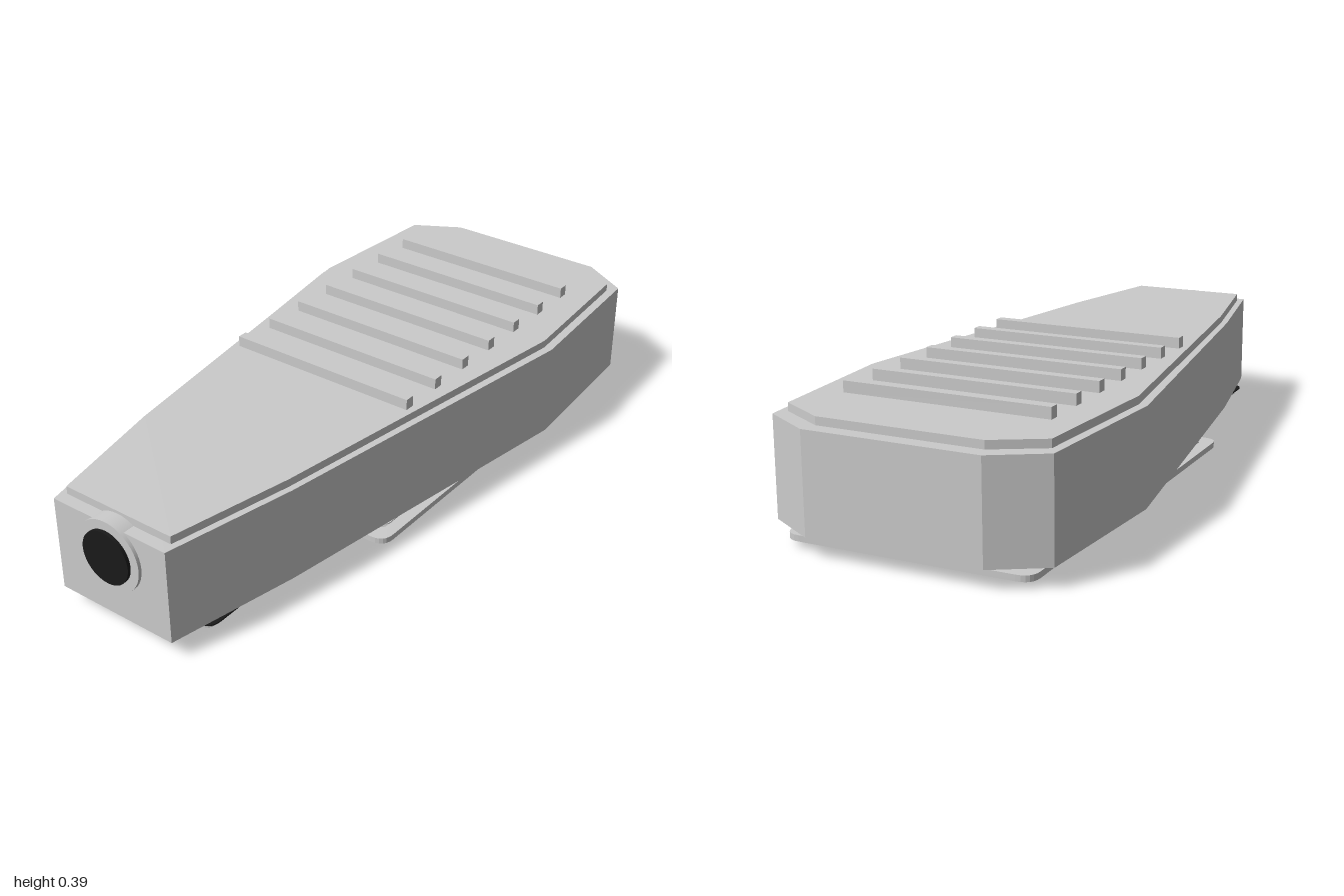
import * as THREE from 'three';

const grey = new THREE.MeshStandardMaterial({ color: 0xcccccc, flatShading: true });
const smoothGrey = new THREE.MeshStandardMaterial({ color: 0xcccccc });
const black = new THREE.MeshStandardMaterial({ color: 0x1a1a1a });

// Closed outline mirrored across z = 0 from points of one side
function mirroredShape(half) {
  const other = half.map(([x, z]) => [x, -z]).reverse();
  return new THREE.Shape([...half, ...other].map(([x, z]) => new THREE.Vector2(x, z)));
}

function roundedRect(x0, x1, halfZ, r) {
  const s = new THREE.Shape();
  s.moveTo(x0 + r, -halfZ);
  s.lineTo(x1 - r, -halfZ);
  s.quadraticCurveTo(x1, -halfZ, x1, -halfZ + r);
  s.lineTo(x1, halfZ - r);
  s.quadraticCurveTo(x1, halfZ, x1 - r, halfZ);
  s.lineTo(x0 + r, halfZ);
  s.quadraticCurveTo(x0, halfZ, x0, halfZ - r);
  s.lineTo(x0, -halfZ + r);
  s.quadraticCurveTo(x0, -halfZ, x0 + r, -halfZ);
  return s;
}

export function createModel() {
  const model = new THREE.Group();
  const add = (name, geometry, material = grey) => {
    const mesh = new THREE.Mesh(geometry, material);
    mesh.name = name;
    model.add(mesh);
    return mesh;
  };
  // Horizontal slab of a plan shape between two heights
  const slab = (name, shape, y0, y1, material) => {
    const g = new THREE.ExtrudeGeometry(shape, { depth: y1 - y0, bevelEnabled: false, curveSegments: 6 });
    g.rotateX(-Math.PI / 2);
    g.translate(0, y0, 0);
    return add(name, g, material);
  };
  const box = (name, x, y, z, w, h, d) =>
    add(name, new THREE.BoxGeometry(w, h, d)).position.set(x, y, z);

  // Tapered housing and inset top plate
  slab('body', mirroredShape([[-0.98, -0.19], [-0.59, -0.27], [0.44, -0.427], [0.915, -0.394], [1, -0.25]]), 0.055, 0.335);
  slab('topPlate', mirroredShape([[-0.945, -0.178], [-0.58, -0.253], [0.44, -0.402], [0.88, -0.371], [0.957, -0.235]]), 0.335, 0.358);

  // Grip ribs across the top
  for (let i = 0; i < 7; i++) box('gripRib', -0.112 + i * 0.139, 0.373, 0, 0.03, 0.034, 0.6);

  // Cable socket on the narrow end
  const disc = (name, r, x0, x1, material) => {
    const g = new THREE.CylinderGeometry(r, r, x1 - x0, 40);
    g.rotateZ(Math.PI / 2);
    add(name, g, material).position.set((x0 + x1) / 2, 0.245, 0);
  };
  disc('socketCollar', 0.105, -0.99, -0.94, smoothGrey);
  disc('socketOpening', 0.078, -1, -0.985, black);

  // Large base frame with a recessed panel
  const frame = roundedRect(-0.3, 0.95, 0.353, 0.045);
  frame.holes.push(roundedRect(-0.25, 0.9, 0.315, 0.02));
  slab('baseFrame', frame, 0.019, 0.036);
  slab('basePanel', roundedRect(-0.24, 0.89, 0.32, 0.02), 0.042, 0.045);

  // Narrow hatch, dark gasket above it and side clips
  slab('hatch', roundedRect(-0.87, -0.3, 0.213, 0.03), 0.034, 0.043);
  slab('gasket', roundedRect(-0.88, -0.3, 0.23, 0.04), 0.051, 0.055, black);
  for (const side of [-1, 1]) {
    box('hatchClip', -0.55, 0.05, side * 0.24, 0.12, 0.012, 0.022);
    // Small feet at the corners
    for (const x of [-0.24, 0.885]) box('foot', x, 0.003, side * 0.317, 0.018, 0.006, 0.018);
  }
  return model;
}
